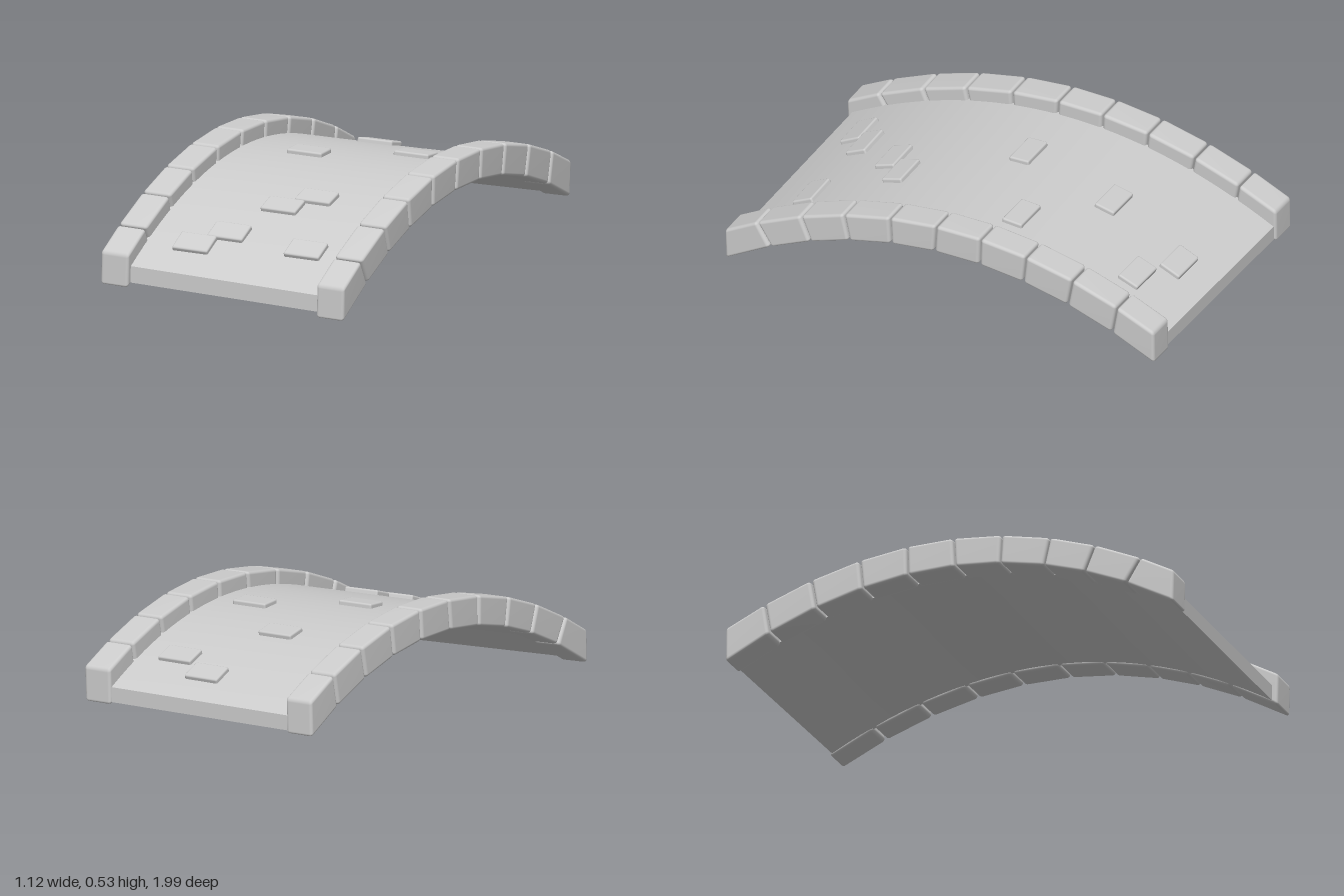
import * as THREE from 'three';
import { RoundedBoxGeometry } from 'three/addons/geometries/RoundedBoxGeometry.js';
import { mergeVertices, toCreasedNormals } from 'three/addons/utils/BufferGeometryUtils.js';

const material = new THREE.MeshStandardMaterial({ color: 0xcccccc });

// Arch profiles along z: underside and top of the kerb stones, top of the deck
const under = z => 0.377 - 0.085 * z - 0.292 * z * z;
const crown = z => 0.505 - 0.09 * z - 0.275 * z * z;
const slope = z => -0.085 - 0.584 * z;
const deckTop = z => under(z) + 0.063 * Math.hypot(1, slope(z));

// The whole bridge leans: its right side sits higher, most of all at the front
const lean = z => (0.03 + 0.02 * z) / 0.98;
const settle = (x, y, z) => [x + 0.03 * (y - 0.25) + 0.006 * z, y + (0.49 - x) * lean(z), z];

// Moves every vertex of a geometry by a rule
function reshape(geometry, rule) {
  const p = geometry.attributes.position;
  for (let i = 0; i < p.count; i++) p.setXYZ(i, ...rule(p.getX(i), p.getY(i), p.getZ(i)));
  return geometry;
}

function addMesh(parent, name, geometry) {
  const mesh = new THREE.Mesh(geometry, material);
  mesh.name = name;
  parent.add(mesh);
  return mesh;
}

// Wedge-shaped kerb stone between two joints, each joint given as [bottom z, top z]
function kerbStone(x, front, back) {
  const w = 0.124, h = 0.14, len = 0.2, lerp = THREE.MathUtils.lerp;
  const box = new RoundedBoxGeometry(w, h, len, 3, 0.014);
  box.deleteAttribute('normal');
  box.deleteAttribute('uv');
  box.clearGroups();
  const stone = mergeVertices(box, 1e-5);
  reshape(stone, (px, py, pz) => {
    const t = 0.5 + 0.965 * pz / len, v = py / h + 0.5;
    const zb = lerp(back[0], front[0], t), zt = lerp(back[1], front[1], t);
    const yb = lerp(under(back[0]), under(front[0]), t);
    const yt = lerp(crown(back[1]), crown(front[1]), t);
    return settle(x + px, lerp(yb, yt, v), lerp(zb, zt, v));
  });
  stone.computeVertexNormals();
  return stone;
}

export function createModel() {
  const bridge = new THREE.Group();
  bridge.name = 'archBridge';

  // Curved deck slab
  const zFront = 0.968, zBack = -0.985;
  const slab = new THREE.BoxGeometry(0.88, 1, 1, 4, 1, 32);
  reshape(slab, (x, y, t) => {
    const z = THREE.MathUtils.lerp(zBack, zFront, t + 0.5);
    return settle(x, y > 0 ? deckTop(z) : under(z) + 0.008, z);
  });
  addMesh(bridge, 'deck', toCreasedNormals(slab, 0.6));

  // Kerb stones along both sides, with upright outer ends
  const joints = [[0.995, 0.995], [0.78, 0.845], [0.595, 0.64], [0.415, 0.44], [0.22, 0.225],
    [0.02, 0.01], [-0.19, -0.195], [-0.39, -0.405], [-0.595, -0.62], [-0.8, -0.825], [-0.998, -0.998]];
  for (const side of [1, -1]) {
    const kerb = new THREE.Group();
    kerb.name = side > 0 ? 'leftKerb' : 'rightKerb';
    for (let i = 0; i < joints.length - 1; i++)
      addMesh(kerb, 'kerbStone' + (i + 1), kerbStone(side * 0.488, joints[i], joints[i + 1]));
    bridge.add(kerb);
  }

  // Scattered paving bricks standing slightly proud of the deck: [x, z]
  const paving = new THREE.Group();
  paving.name = 'pavingBricks';
  const spots = [[0.065, -0.83], [0.25, -0.745], [-0.05, -0.465], [0.245, -0.21], [-0.14, -0.02],
    [0.125, 0.415], [0.02, 0.51], [-0.11, 0.72], [-0.22, 0.81], [0.255, 0.755]];
  for (const [x, z] of spots) {
    const pitch = Math.atan(slope(z)), length = 0.09 / Math.cos(pitch);
    const brick = addMesh(paving, 'brick', new RoundedBoxGeometry(0.158, 0.036, length, 2, 0.008));
    brick.position.set(...settle(x, deckTop(z), z));
    brick.rotation.set(-pitch, 0, -lean(z));
  }
  bridge.add(paving);

  return bridge;
}
